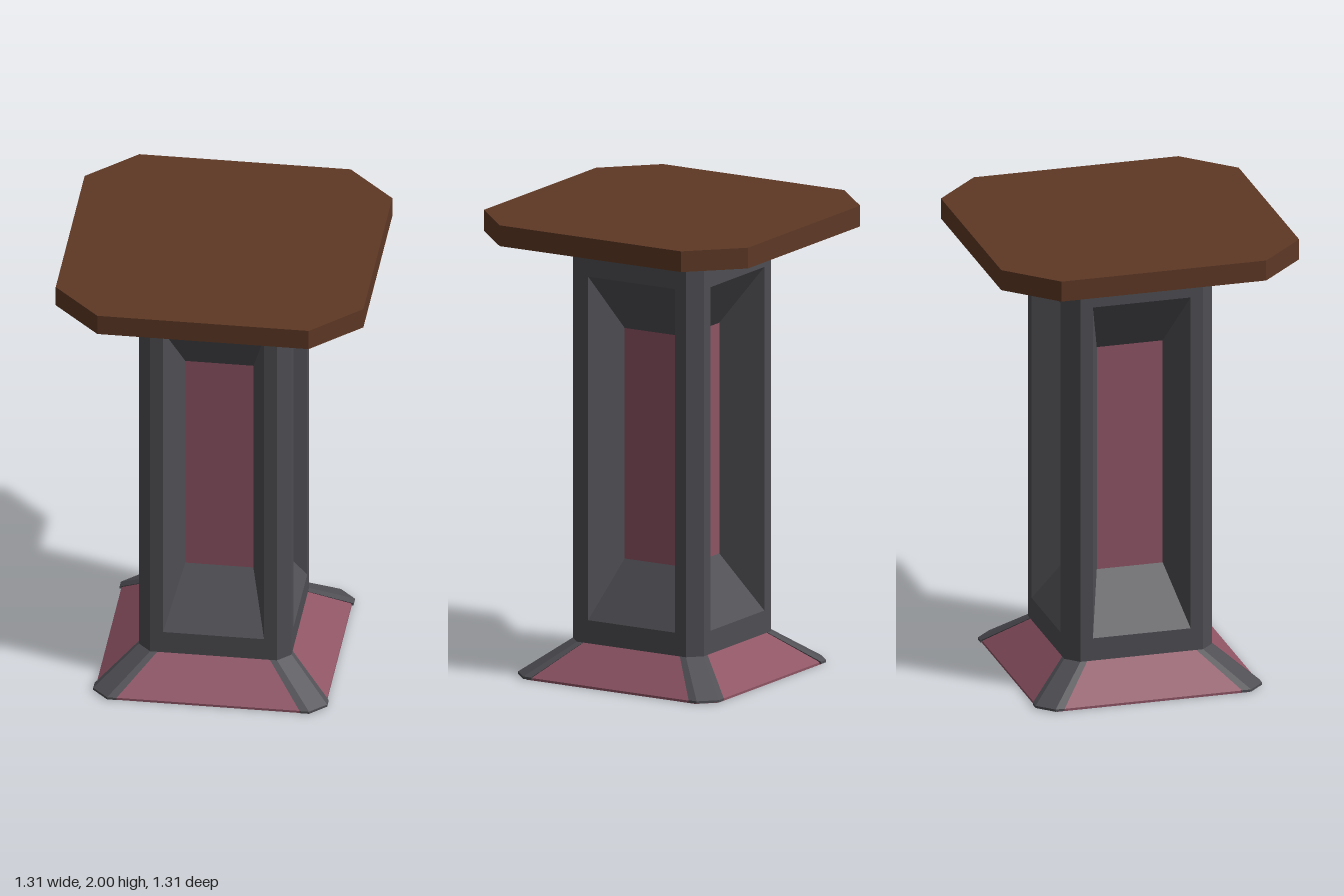
import * as THREE from 'three';

const material = (name, color) => {
  const m = new THREE.MeshStandardMaterial({ color, side: THREE.DoubleSide });
  m.name = name;
  return m;
};

// Square with cut corners: half width h, flat sides reach from -c to c
const octagon = (h, c, y) => [
  [-c, h], [c, h], [h, c], [h, -c], [c, -h], [-c, -h], [-h, -c], [-h, c],
].map(([x, z]) => [x, y, z]);

// Upright rectangle at depth z
const rectangle = (w, y0, y1, z) => [[-w, y0, z], [w, y0, z], [w, y1, z], [-w, y1, z]];

// Flat-faced skin through equal loops, with optional end caps
function loft(loops, capStart = false, capEnd = false) {
  const pos = [];
  const tri = (a, b, c) => pos.push(...a, ...b, ...c);
  const n = loops[0].length;
  for (let k = 0; k < loops.length - 1; k++) {
    for (let i = 0; i < n; i++) {
      const j = (i + 1) % n, A = loops[k], B = loops[k + 1];
      tri(A[i], A[j], B[j]);
      tri(A[i], B[j], B[i]);
    }
  }
  const first = loops[0], last = loops[loops.length - 1];
  for (let i = 1; i < n - 1; i++) {
    if (capStart) tri(first[0], first[i + 1], first[i]);
    if (capEnd) tri(last[0], last[i], last[i + 1]);
  }
  const g = new THREE.BufferGeometry();
  g.setAttribute('position', new THREE.Float32BufferAttribute(pos, 3));
  g.computeVertexNormals();
  return g;
}

export function createModel() {
  const wood = material('brown wood', 0x5e3825);
  const stone = material('dark grey stone', 0x4e4e53);
  const rose = material('dusty rose', 0x8e5464);

  const model = new THREE.Group();
  model.name = 'pedestalTable';
  const add = (parent, name, geometry, mat) => {
    const mesh = new THREE.Mesh(geometry, mat);
    mesh.name = name;
    parent.add(mesh);
  };

  const H = 0.325, C = 0.27, Y0 = 0.15, Y1 = 1.83;

  // Tabletop and the flared collar beneath it
  add(model, 'tabletop', loft([octagon(0.655, 0.45, 1.91), octagon(0.655, 0.45, 2)], true, true), wood);
  add(model, 'collar', loft([octagon(H, C, Y1), octagon(0.43, 0.36, 1.912)]), stone);

  // Sloping foot
  add(model, 'foot', loft([octagon(0.49, 0.42, 0), octagon(0.49, 0.42, 0.01), octagon(0.318, 0.264, Y0)], true, true), rose);

  // Four identical column sides, each with a deep recess and one corner
  for (let i = 0; i < 4; i++) {
    const side = new THREE.Group();
    side.name = 'columnSide' + (i + 1);
    side.rotation.y = i * Math.PI / 2;
    model.add(side);

    const outer = rectangle(0.215, 0.25, 1.74, H);
    const inner = rectangle(0.145, 0.49, 1.49, 0.145);
    add(side, 'frame', loft([rectangle(C, Y0, Y1, H), outer]), stone);
    add(side, 'recess', loft([outer, inner]), stone);

    const pane = new THREE.PlaneGeometry(0.29, 1);
    pane.translate(0, 0.99, 0.145);
    add(side, 'pane', pane, rose);

    const chamfer = new THREE.PlaneGeometry((H - C) * Math.SQRT2, Y1 - Y0);
    chamfer.rotateY(Math.PI / 4);
    chamfer.translate((H + C) / 2, (Y0 + Y1) / 2, (H + C) / 2);
    add(side, 'columnCorner', chamfer, stone);

    // Grey corner cap running down the foot
    const cap = (s, c, h, y) => [[s, y, h], [c, y, h], [h, y, c], [h, y, s], [s, y, s]];
    add(side, 'footCorner', loft([
      cap(0.39, 0.43, 0.498, 0.004),
      cap(0.39, 0.43, 0.498, 0.014),
      cap(0.24, C, H, Y0),
    ], true, true), stone);
  }
  return model;
}
